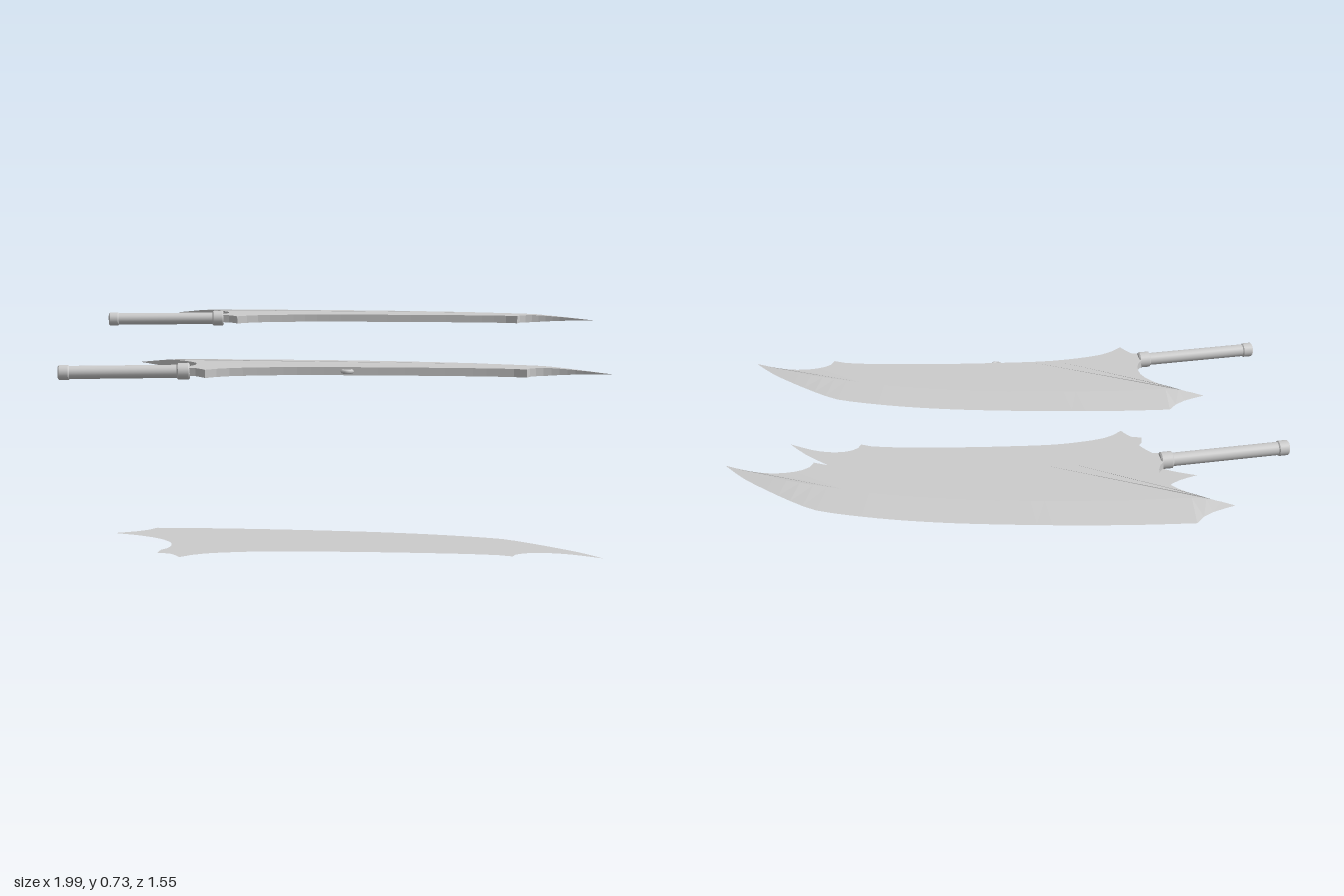
import * as THREE from 'three';

const steel = new THREE.MeshStandardMaterial({ color: 0xcccccc, flatShading: true });
const gripSteel = new THREE.MeshStandardMaterial({ color: 0xcccccc });
const sheet = new THREE.MeshStandardMaterial({ color: 0xcccccc, side: THREE.DoubleSide });

// Smooth run of points through [x, z] pairs
function run(pairs, n) {
  return new THREE.SplineCurve(pairs.map(p => new THREE.Vector2(p[0], p[1]))).getSpacedPoints(n);
}
const join = (...runs) => runs.reduce((all, r) => all.concat(all.length ? r.slice(1) : r), []);

// Blade outline in plan, seen from above
const back = join(
  run([[-0.778, -0.652], [-0.72, -0.68], [-0.676, -0.708], [-0.644, -0.751]], 4),
  run([[-0.644, -0.751], [-0.45, -0.766], [-0.24, -0.775], [-0.02, -0.778], [0.19, -0.775],
    [0.4, -0.759], [0.6, -0.727], [0.682, -0.69], [0.778, -0.631], [0.885, -0.556], [0.96, -0.484]], 32));
const front = join(
  run([[0.96, -0.484], [0.858, -0.524], [0.778, -0.537], [0.709, -0.529], [0.666, -0.503], [0.655, -0.476]], 12),
  run([[0.655, -0.476], [0.62, -0.487], [0.484, -0.492], [0.243, -0.484], [0.03, -0.47], [-0.184, -0.449],
    [-0.345, -0.412], [-0.42, -0.38], [-0.468, -0.337]], 24),
  run([[-0.468, -0.337], [-0.487, -0.36], [-0.511, -0.381]], 3),
  run([[-0.511, -0.381], [-0.556, -0.386]], 1),
  run([[-0.556, -0.386], [-0.556, -0.41], [-0.553, -0.429]], 3),
  run([[-0.553, -0.429], [-0.535, -0.457], [-0.532, -0.485], [-0.543, -0.535], [-0.596, -0.588],
    [-0.68, -0.627], [-0.778, -0.652]], 14));
// Line where the flat of the blade meets the ground bevel
const ridge = run([[-0.778, -0.652], [-0.66, -0.632], [-0.4, -0.655], [0, -0.668], [0.35, -0.65],
  [0.6, -0.61], [0.8, -0.56], [0.96, -0.484]], 36);

// Half thickness, thinning out at the tip and the rear prong
const half = x => 0.0145 * THREE.MathUtils.clamp(Math.min((x + 0.778) / 0.12, (0.96 - x) / 0.24), 0, 1);

const planShape = pts => new THREE.Shape(pts.slice(0, -1).map(p => new THREE.Vector2(p.x, -p.y)));

function mesh(name, geometry, material, parent) {
  const m = new THREE.Mesh(geometry, material);
  m.name = name;
  parent.add(m);
  return m;
}

// Flat body of the blade
function bladeBody() {
  const g = new THREE.ExtrudeGeometry(planShape(join(ridge, front)), { depth: 1, bevelEnabled: false });
  g.translate(0, 0, -0.5).rotateX(-Math.PI / 2);
  const p = g.attributes.position;
  for (let i = 0; i < p.count; i++) p.setY(i, Math.sign(p.getY(i)) * half(p.getX(i)));
  g.computeVertexNormals();
  return g;
}

// Two bevel faces running from the ridge to the sharp back
function bladeBevel() {
  const pos = [];
  for (const s of [1, -1]) {
    for (let i = 0; i < ridge.length - 1; i++) {
      const r = k => [ridge[k].x, s * half(ridge[k].x), ridge[k].y];
      const b = k => [back[k].x, 0, back[k].y];
      const quad = [r(i), r(i + 1), b(i + 1), r(i), b(i + 1), b(i)];
      if (s < 0) quad.reverse();
      pos.push(...quad.flat());
    }
  }
  const g = new THREE.BufferGeometry();
  g.setAttribute('position', new THREE.Float32BufferAttribute(pos, 3));
  g.computeVertexNormals();
  return g;
}

// Turned bar from profile [radius, distance]; repeated points keep corners crisp
function turned(profile) {
  return new THREE.LatheGeometry(profile.map(p => new THREE.Vector2(p[0], p[1])), 24);
}

function makeHandle() {
  const handle = new THREE.Group();
  handle.name = 'handle';
  mesh('grip', new THREE.CylinderGeometry(0.0235, 0.0235, 0.42, 24).translate(0, 0.23, 0), gripSteel, handle);
  mesh('pommel', turned([[0, 0], [0.022, 0], [0.022, 0], [0.027, 0.005], [0.027, 0.005], [0.027, 0.036],
    [0.027, 0.036], [0.0235, 0.04]]), gripSteel, handle);
  mesh('collar', turned([[0.0235, 0.418], [0.03, 0.422], [0.03, 0.422], [0.03, 0.459], [0.03, 0.459],
    [0.026, 0.464], [0.026, 0.464], [0, 0.464]]), gripSteel, handle);
  const from = new THREE.Vector3(-0.992, 0, -0.313);
  const to = new THREE.Vector3(-0.543, 0, -0.406);
  handle.position.copy(from);
  handle.quaternion.setFromUnitVectors(new THREE.Vector3(0, 1, 0), to.sub(from).normalize());
  return handle;
}

function makeSword(name, x, y, z) {
  const sword = new THREE.Group();
  sword.name = name;
  mesh('bladeBody', bladeBody(), steel, sword);
  mesh('bladeBevel', bladeBevel(), steel, sword);
  sword.add(makeHandle());
  sword.position.set(x, y, z);
  return sword;
}

export function createModel() {
  const model = new THREE.Group();
  model.name = 'swordSet';
  model.add(makeSword('rearSword', 0, 0.702, 0));
  const frontSword = makeSword('frontSword', 0.038, 0.59, 0.825);
  model.add(frontSword);

  // Small ring set in the cutting edge
  const ring = mesh('edgeRing', new THREE.TorusGeometry(0.016, 0.008, 8, 20).rotateX(Math.PI / 2), gripSteel, frontSword);
  ring.position.set(0.02, 0, -0.465);

  // Paper-thin blade template lying at the bottom
  const template = mesh('bladeTemplate',
    new THREE.ShapeGeometry(planShape(join(back, front))).rotateX(-Math.PI / 2), sheet, model);
  template.position.z = 1.108;
  return model;
}
